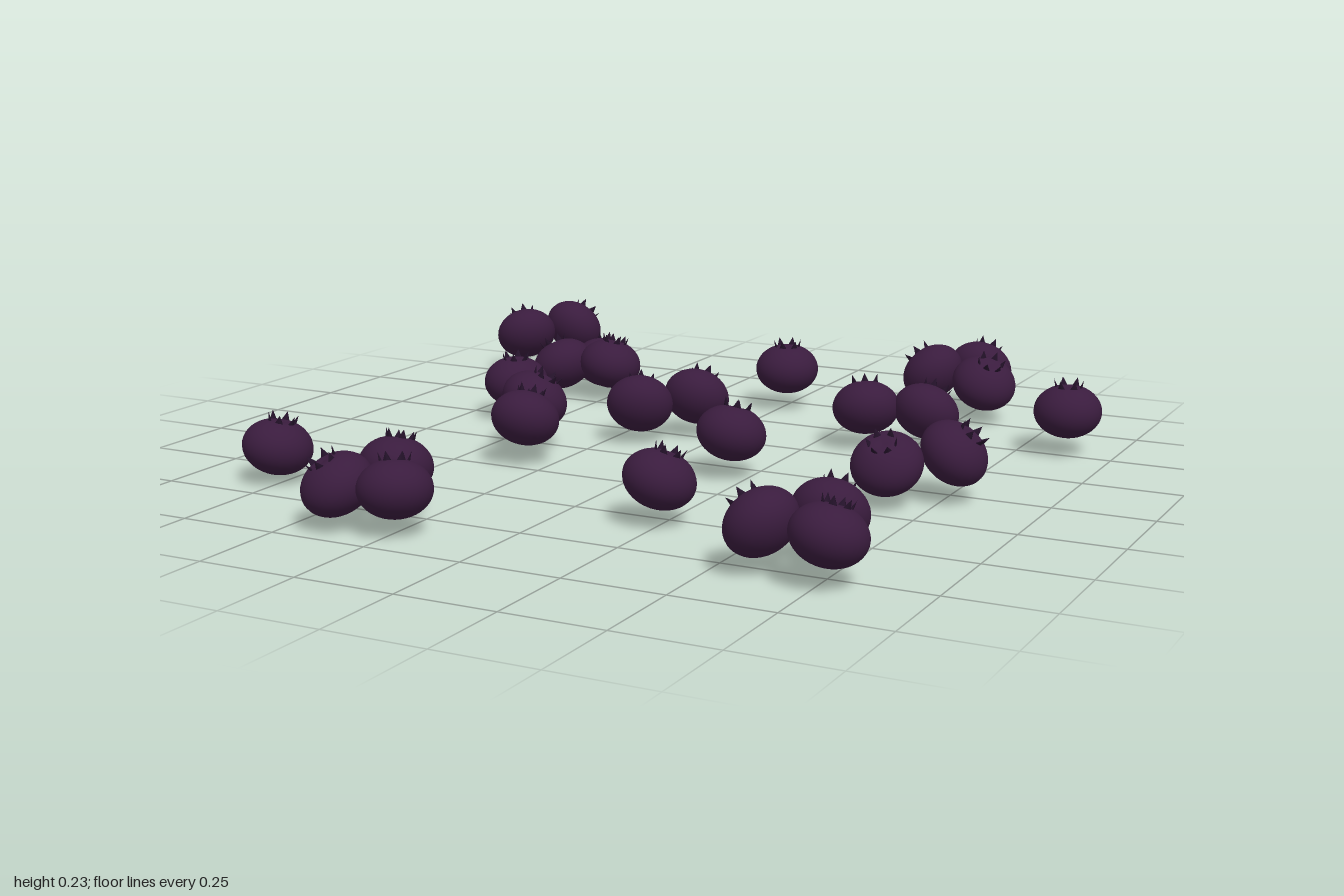
import * as THREE from 'three';
import { mergeGeometries } from 'three/addons/utils/BufferGeometryUtils.js';

const R = 0.087, H = 0.069;

// Squashed round berry with a shallow dimple under the crown
function bodyGeometry() {
  const pts = [];
  const n = 22;
  for (let i = 0; i <= n; i++) {
    const a = -Math.PI / 2 + (Math.PI * i) / n;
    const r = i === 0 || i === n ? 0 : R * Math.cos(a);
    const dimple = a > 0 ? 0.007 * Math.exp(-((r / 0.022) ** 2)) : 0;
    pts.push(new THREE.Vector2(r, H * Math.sin(a) - dimple));
  }
  return new THREE.LatheGeometry(pts, 32);
}

// Ring of small pointed sepals leaning outwards
function crownGeometry() {
  const sepals = [];
  const count = 6;
  for (let i = 0; i < count; i++) {
    const g = new THREE.ConeGeometry(0.013, 0.026, 6);
    g.scale(1, 1, 0.3);
    g.rotateX(0.3);
    g.translate(0, H + 0.002, 0.034);
    g.rotateY((i / count) * Math.PI * 2);
    sepals.push(g);
  }
  return mergeGeometries(sepals);
}

// Each berry: x, y, z, then how far its crown leans in x and z
const berries = [
  // back left
  [-0.785, 0.14, -0.87, 0.25, -0.7], [-0.885, 0.13, -0.755, -0.45, -0.4],
  [-0.58, 0.08, -0.69, 0, -0.5], [-0.63, 0.1, -0.535, -0.5, -0.1], [-0.485, 0.11, -0.555, 0.15, -0.15],
  [-0.6, 0.11, -0.225, 0, 0],
  // back middle and right
  [0.015, 0.12, -0.68, 0, 0],
  [0.505, 0.125, -0.915, 0.1, -0.6], [0.405, 0.125, -0.8, -0.7, -0.15], [0.565, 0.115, -0.77, 0.35, 0.25],
  [0.877, 0.12, -0.52, 0, 0],
  [0.39, 0.115, -0.345, -0.2, -0.35], [0.54, 0.11, -0.39, 0.2, -0.55],
  // middle
  [-0.06, 0.115, -0.26, 0, -0.65], [-0.165, 0.11, -0.135, -0.25, -0.65],
  [-0.37, 0.14, 0.06, 0.4, -0.25], [-0.315, 0.125, 0.2, 0, -0.45],
  [0.21, 0.12, 0.09, 0.1, -0.3],
  [0.775, 0.125, 0.053, 0.65, -0.1], [0.65, 0.11, 0.165, 0, 0.5],
  // front
  [-0.76, 0.095, 0.633, 0.15, -0.15], [0.25, 0.115, 0.55, 0.25, -0.25],
  [-0.33, 0.125, 0.75, 0, -0.3], [-0.385, 0.11, 0.905, -0.35, 0.35], [-0.235, 0.115, 0.895, -0.15, -0.25],
  [0.715, 0.125, 0.655, 0, -0.65], [0.61, 0.12, 0.78, -0.7, -0.2], [0.775, 0.12, 0.805, 0.15, -0.3],
];

export function createModel() {
  const group = new THREE.Group();
  group.name = 'scatteredBerries';
  const skin = new THREE.MeshStandardMaterial({ color: 0x3a1c3e });
  const leaf = new THREE.MeshStandardMaterial({ color: 0x24122a });
  const body = bodyGeometry();
  const crown = crownGeometry();
  const up = new THREE.Vector3(0, 1, 0);

  berries.forEach(([x, y, z, lx, lz], i) => {
    const berry = new THREE.Group();
    berry.name = `berry${i + 1}`;
    const bodyMesh = new THREE.Mesh(body, skin);
    bodyMesh.name = 'berryBody';
    const crownMesh = new THREE.Mesh(crown, leaf);
    crownMesh.name = 'crown';
    crownMesh.rotation.y = i * 0.7;
    berry.add(bodyMesh, crownMesh);
    const ly = Math.sqrt(Math.max(0.1, 1 - lx * lx - lz * lz));
    berry.quaternion.setFromUnitVectors(up, new THREE.Vector3(lx, ly, lz).normalize());
    berry.position.set(x, y, z);
    group.add(berry);
  });
  return group;
}
